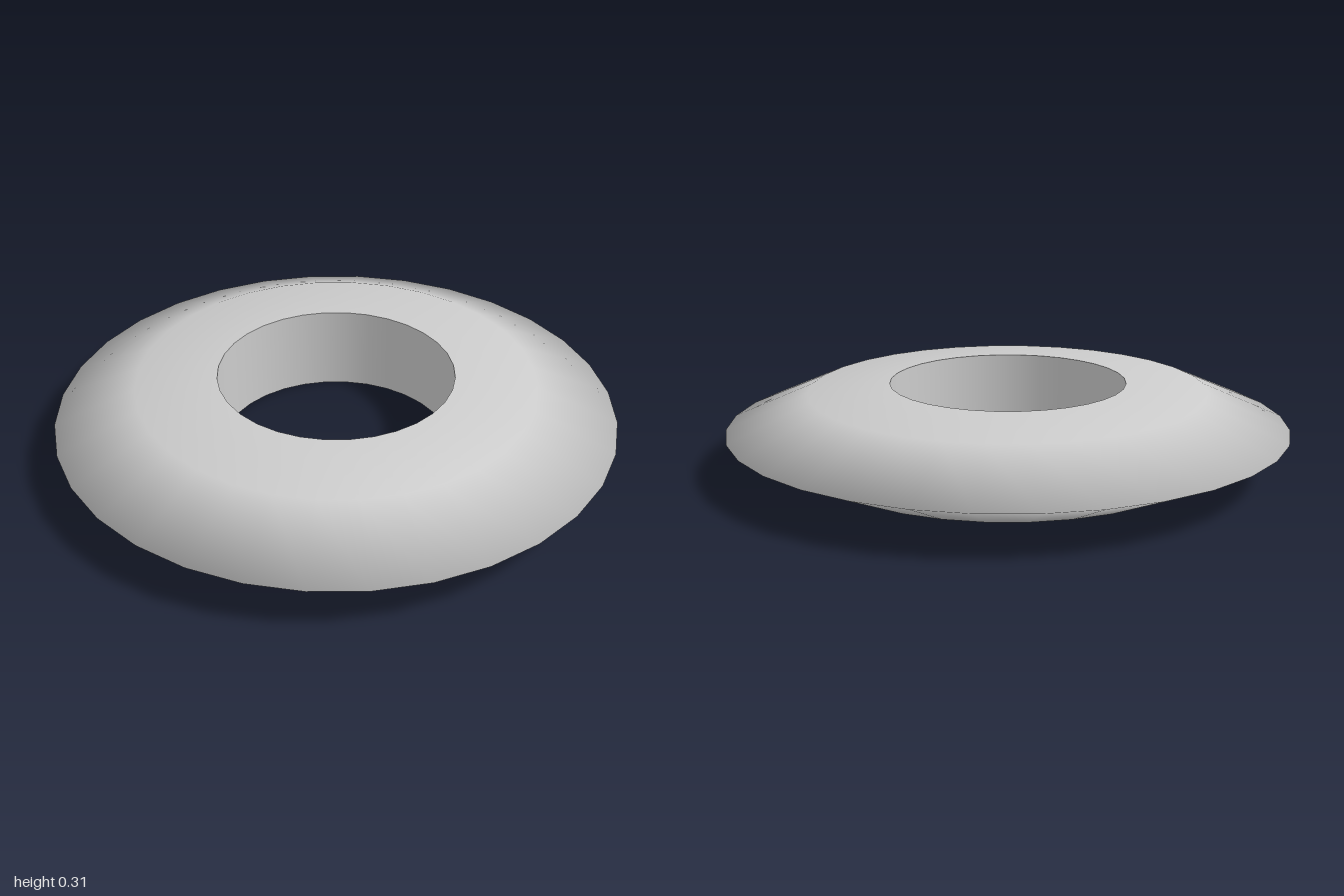
import * as THREE from 'three';

const SIDES = 32;
const HEIGHT = 0.31;
const HOLE = 0.42;

// Revolve [radius, height] pairs around the y axis
function revolve(name, profile, material) {
  const points = profile.map(([r, y]) => new THREE.Vector2(r, y));
  const mesh = new THREE.Mesh(new THREE.LatheGeometry(points, SIDES), material);
  mesh.name = name;
  return mesh;
}

export function createModel() {
  const model = new THREE.Group();
  model.name = 'ring';
  const material = new THREE.MeshStandardMaterial({ color: 0xcccccc });

  // Lens-shaped outer shell: underside, pointed rim, upper side
  const lower = [[HOLE, 0], [0.71, 0.027]];
  const upper = lower.map(([r, y]) => [r, HEIGHT - y]).reverse();
  model.add(revolve('outerShell', [...lower, [1, HEIGHT / 2], ...upper], material));

  // Straight wall of the central hole, facing the axis
  model.add(revolve('holeWall', [[HOLE, HEIGHT], [HOLE, 0]], material));

  return model;
}
